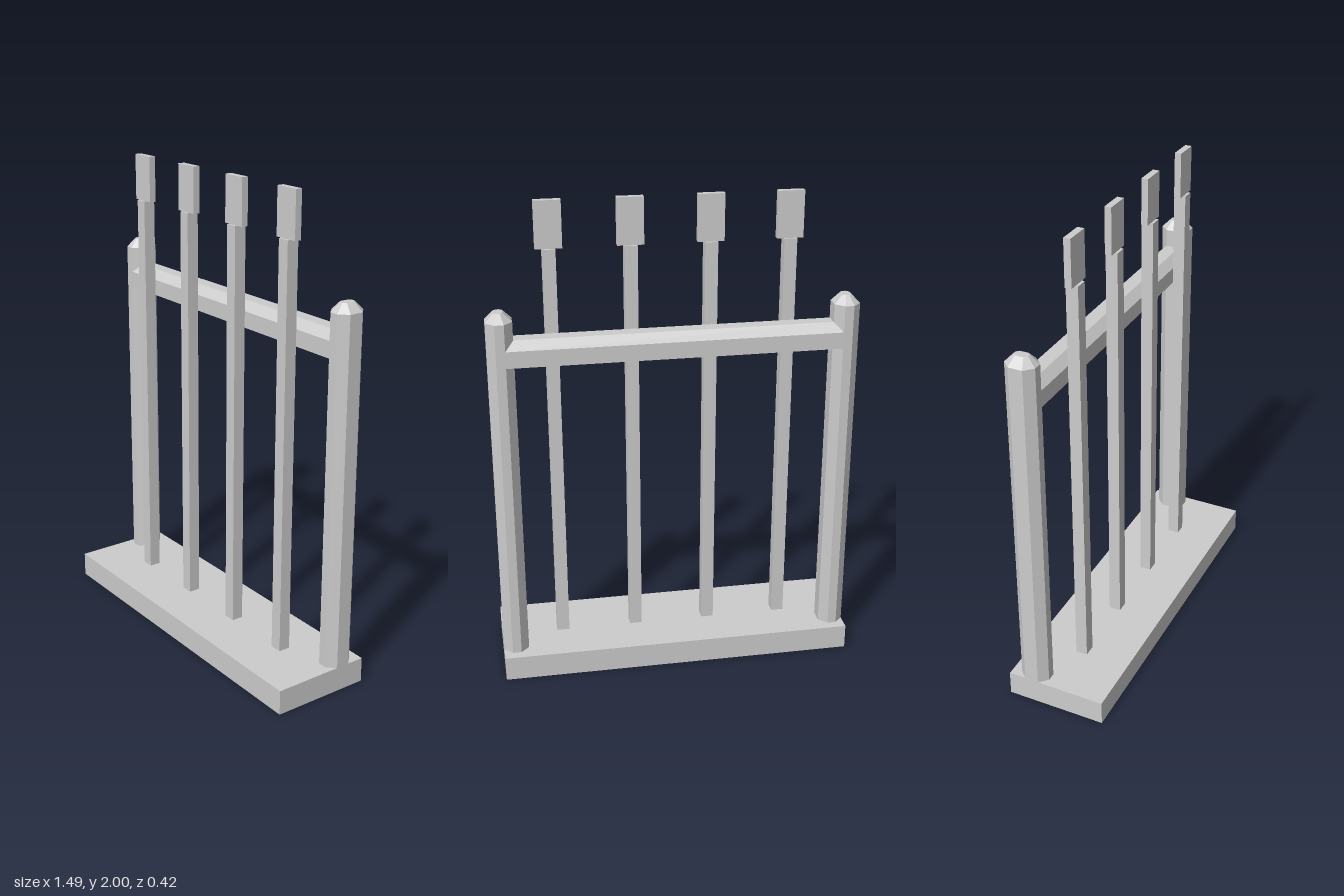
import * as THREE from 'three';

const grey = new THREE.MeshStandardMaterial({ color: 0xcccccc });
grey.name = 'plain grey';

const BASE_TOP = 0.105, FRAME_Z = -0.109, HALF_X = 0.0525, HALF_Z = 0.0635;

function add(group, name, geometry, x = 0, y = 0, z = 0) {
  const mesh = new THREE.Mesh(geometry, grey);
  mesh.name = name;
  mesh.position.set(x, y, z);
  group.add(mesh);
}

// Rectangle with chamfered corners, counter-clockwise seen from +y
function octagon(hx, hz, cut, y) {
  return [
    [hx, hz - cut], [hx, cut - hz], [hx - cut, -hz], [cut - hx, -hz],
    [-hx, cut - hz], [-hx, hz - cut], [cut - hx, hz], [hx - cut, hz],
  ].map(([x, z]) => [x, y, z]);
}

// Faceted solid through a stack of rings, capped at both ends
function loft(rings) {
  const pos = [];
  const n = rings[0].length;
  for (let r = 0; r < rings.length - 1; r++) {
    for (let i = 0; i < n; i++) {
      const j = (i + 1) % n;
      const a = rings[r][i], b = rings[r][j], c = rings[r + 1][j], d = rings[r + 1][i];
      pos.push(...a, ...b, ...c, ...a, ...c, ...d);
    }
  }
  const bottom = rings[0], top = rings[rings.length - 1];
  for (let i = 1; i < n - 1; i++) {
    pos.push(...top[0], ...top[i], ...top[i + 1]);
    pos.push(...bottom[0], ...bottom[i + 1], ...bottom[i]);
  }
  const geometry = new THREE.BufferGeometry();
  geometry.setAttribute('position', new THREE.Float32BufferAttribute(pos, 3));
  geometry.computeVertexNormals();
  return geometry;
}

export function createModel() {
  const model = new THREE.Group();
  model.name = 'barRack';

  add(model, 'base', new THREE.BoxGeometry(1.486, BASE_TOP, 0.424), 0, BASE_TOP / 2, 0);

  // Chamfered end posts with bevelled caps
  const post = loft([
    octagon(HALF_X, HALF_Z, 0.034, BASE_TOP - 0.01),
    octagon(HALF_X, HALF_Z, 0.034, 1.565),
    octagon(0.019, 0.03, 0.012, 1.6),
  ]);
  add(model, 'leftPost', post, 0.691, 0, FRAME_Z);
  add(model, 'rightPost', post, -0.691, 0, FRAME_Z);

  // Cross rail, chamfered along its two upper edges
  const section = new THREE.Shape([
    [-HALF_Z, 1.388], [HALF_Z, 1.388], [HALF_Z, 1.456],
    [0.029, 1.491], [-0.029, 1.491], [-HALF_Z, 1.456],
  ].map(([x, y]) => new THREE.Vector2(x, y)));
  const rail = new THREE.ExtrudeGeometry(section, { depth: 1.36, bevelEnabled: false });
  rail.translate(0, 0, -0.68).rotateY(Math.PI / 2);
  add(model, 'crossRail', rail, 0, 0, FRAME_Z);

  // Four upright bars with flat paddle heads
  const bar = new THREE.BoxGeometry(0.052, 1.81 - BASE_TOP, 0.05);
  const head = new THREE.BoxGeometry(0.107, 0.19, 0.028);
  for (const x of [-0.48, -0.16, 0.16, 0.48]) {
    add(model, 'uprightBar', bar, x, (1.81 + BASE_TOP) / 2, 0);
    add(model, 'barHead', head, x, 1.905, 0);
  }
  return model;
}
